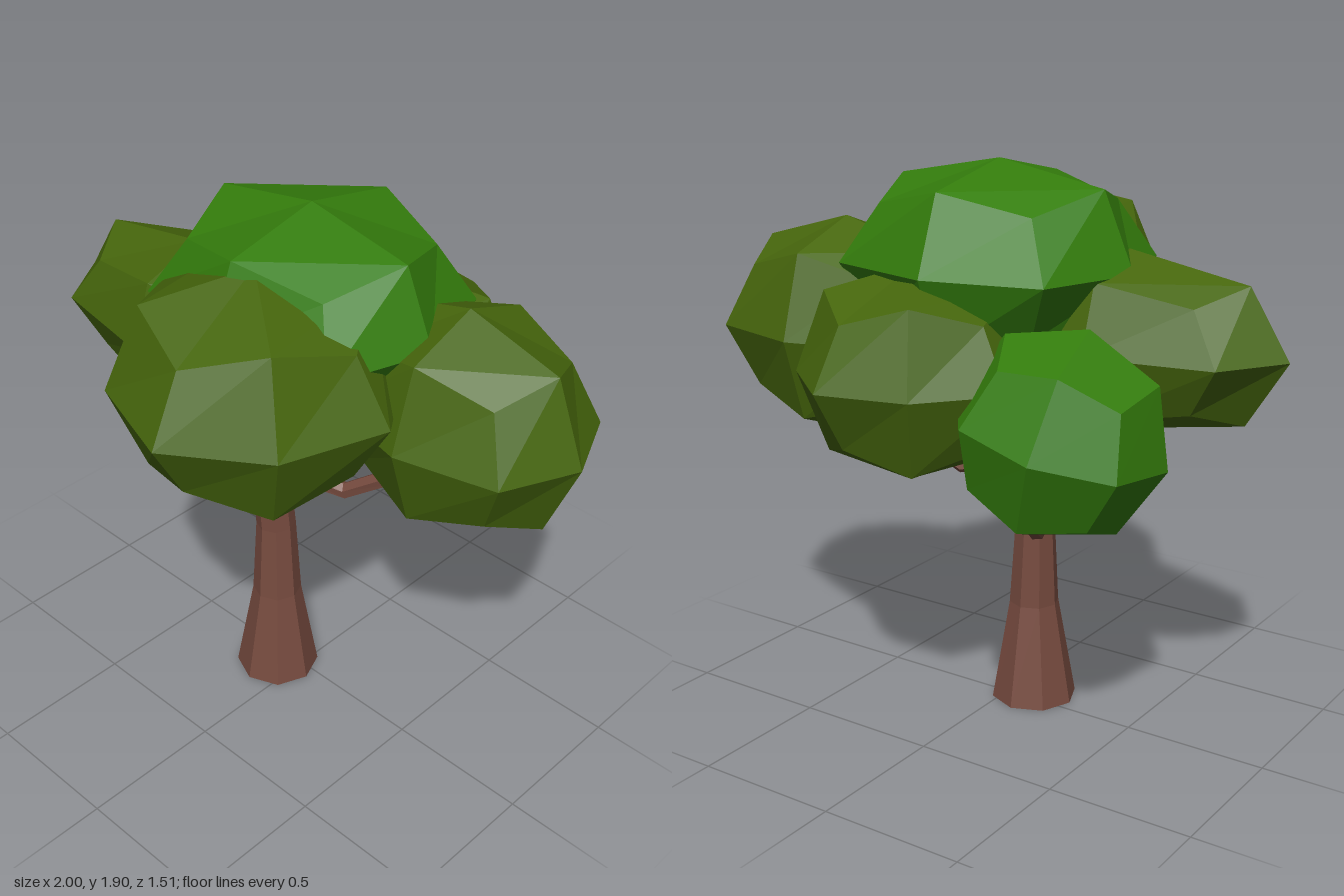
import * as THREE from 'three';

const flat = (name, color) => {
  const m = new THREE.MeshStandardMaterial({ color, flatShading: true });
  m.name = name;
  return m;
};

// Faceted leaf clump: a 2x2 subdivided box with its edges and corners pulled in
function clump(name, material, { at, size, turn = [0, 0, 0], edge = 0.75, corner = 0.56 }) {
  const geo = new THREE.BoxGeometry(2, 2, 2, 2, 2, 2).toNonIndexed();
  const pos = geo.attributes.position;
  const v = new THREE.Vector3();
  for (let i = 0; i < pos.count; i++) {
    v.fromBufferAttribute(pos, i);
    const pull = [1, 1, edge, corner][Math.round(v.lengthSq())];
    v.multiplyScalar(pull);
    pos.setXYZ(i, v.x * size[0], v.y * size[1], v.z * size[2]);
  }
  geo.computeVertexNormals();
  const mesh = new THREE.Mesh(geo, material);
  mesh.name = name;
  mesh.position.set(...at);
  mesh.rotation.set(...turn);
  return mesh;
}

// Tapered limb: rings [x, y, z, radius] joined along a path, closed at both ends
function limb(name, material, rings, sides) {
  const centres = rings.map(r => new THREE.Vector3(r[0], r[1], r[2]));
  const up = new THREE.Vector3(0, 1, 0);
  const verts = [], index = [];
  rings.forEach((ring, i) => {
    const a = centres[Math.max(i - 1, 0)], b = centres[Math.min(i + 1, rings.length - 1)];
    const dir = b.clone().sub(a).normalize();
    if (ring[1] === 0) dir.copy(up); // flat on the ground
    const q = new THREE.Quaternion().setFromUnitVectors(up, dir);
    for (let s = 0; s < sides; s++) {
      const t = (s / sides) * Math.PI * 2;
      const p = new THREE.Vector3(Math.sin(t), 0, Math.cos(t)).multiplyScalar(ring[3]);
      p.applyQuaternion(q).add(centres[i]);
      verts.push(p.x, p.y, p.z);
    }
  });
  for (let i = 0; i < rings.length - 1; i++) {
    for (let s = 0; s < sides; s++) {
      const n = (s + 1) % sides;
      const a = i * sides + s, b = i * sides + n, c = a + sides, d = b + sides;
      index.push(a, b, d, a, d, c);
    }
  }
  const last = (rings.length - 1) * sides;
  for (let s = 1; s < sides - 1; s++) {
    index.push(0, s + 1, s, last, last + s, last + s + 1);
  }
  const indexed = new THREE.BufferGeometry();
  indexed.setAttribute('position', new THREE.Float32BufferAttribute(verts, 3));
  indexed.setIndex(index);
  const geo = indexed.toNonIndexed();
  geo.computeVertexNormals();
  const mesh = new THREE.Mesh(geo, material);
  mesh.name = name;
  return mesh;
}

export function createModel() {
  const bark = flat('bark brown', 0x774b3f);
  const olive = flat('olive leaves', 0x46660c);
  const green = flat('bright green leaves', 0x347d0c);
  const tree = new THREE.Group();
  tree.name = 'tree';

  // Trunk and branches
  tree.add(
    limb('trunk', bark, [
      [-0.085, 0, 0.045, 0.15], [-0.083, 0.36, 0.045, 0.087], [-0.09, 0.65, 0.04, 0.07],
      [-0.105, 0.88, 0.05, 0.066], [-0.118, 0.96, 0.05, 0.066], [-0.135, 1.02, 0.04, 0.035],
    ], 8),
    limb('rightBranch', bark, [
      [-0.09, 0.91, 0.05, 0.035], [0.0, 0.88, 0.0, 0.03], [0.14, 0.85, -0.07, 0.03],
      [0.31, 0.97, -0.13, 0.03], [0.45, 1.05, -0.17, 0.025],
    ], 6),
    limb('leftBranch', bark, [
      [-0.12, 0.97, 0.05, 0.032], [-0.22, 1.0, 0.06, 0.028], [-0.38, 1.04, 0.06, 0.022],
      [-0.47, 1.1, 0.05, 0.02],
    ], 6),
    limb('frontBranch', bark, [
      [-0.14, 0.97, 0.05, 0.03], [-0.13, 1.0, 0.15, 0.025], [-0.1, 1.02, 0.23, 0.022],
      [-0.08, 1.12, 0.28, 0.02],
    ], 6),
    limb('backBranch', bark, [
      [-0.11, 0.62, 0.03, 0.035], [-0.15, 0.68, -0.07, 0.03], [-0.2, 0.785, -0.235, 0.028],
      [-0.23, 0.86, -0.295, 0.025], [-0.28, 0.94, -0.33, 0.02],
    ], 6),
  );

  // Leaf clumps; some are turned so that an edge faces outwards
  const eighth = Math.PI / 4;
  tree.add(
    clump('topLeaves', green, { at: [0.003, 1.575, -0.04], size: [0.505, 0.33, 0.445], edge: 0.78, corner: 0.58 }),
    clump('rightLeaves', olive, { at: [0.54, 1.315, -0.17], size: [0.455, 0.375, 0.34] }),
    clump('leftLeaves', olive, { at: [-0.44, 1.345, 0.045], size: [0.56, 0.295, 0.295] }),
    clump('frontLeaves', olive, {
      at: [0.05, 1.42, 0.255], size: [0.472, 0.39, 0.472], turn: [0, eighth + 0.14, 0],
    }),
    clump('backLeaves', olive, {
      at: [0.11, 1.245, -0.35], size: [0.395, 0.355, 0.395], turn: [0, eighth - 0.22, 0],
    }),
    clump('lowerBackLeaves', green, {
      at: [-0.41, 1.11, -0.31], size: [0.35, 0.35, 0.35], turn: [0, 0.27, 0.25], edge: 0.72,
    }),
  );
  return tree;
}
